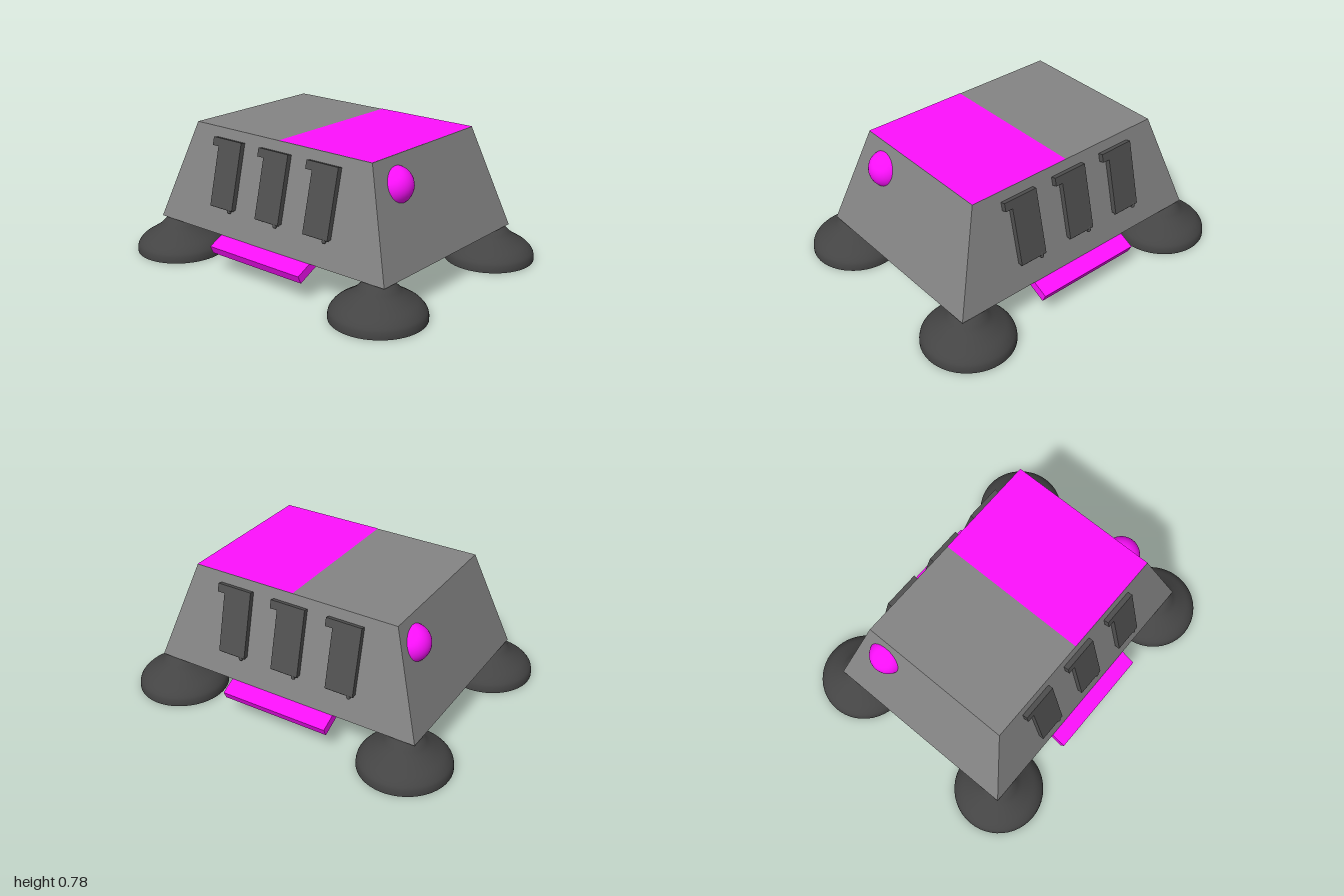
import * as THREE from 'three';

const mat = (color) => new THREE.MeshStandardMaterial({ color });

export function createModel() {
  const model = new THREE.Group();
  const grey = mat(0x858585), dark = mat(0x444444), vent = mat(0x505050), pink = mat(0xff10ff);

  const add = (parent, name, geometry, material, x = 0, y = 0, z = 0) => {
    const mesh = new THREE.Mesh(geometry, material);
    mesh.name = name;
    mesh.position.set(x, y, z);
    parent.add(mesh);
    return mesh;
  };

  // Tapered body: a box whose upper corners are pulled in
  const base = { y: 0.2, x: 0.825, z: 0.595 }, roof = { y: 0.78, x: 0.633, z: 0.455 };
  const bodyGeo = new THREE.BoxGeometry(2, 1, 2);
  const p = bodyGeo.attributes.position;
  for (let i = 0; i < p.count; i++) {
    const ring = p.getY(i) > 0 ? roof : base;
    p.setXYZ(i, p.getX(i) * ring.x, ring.y, p.getZ(i) * ring.z);
  }
  const flatBody = bodyGeo.toNonIndexed();
  flatBody.computeVertexNormals();
  add(model, 'body', flatBody, grey);

  // Coloured half of the roof
  const panel = new THREE.PlaneGeometry(roof.x, roof.z * 2).rotateX(-Math.PI / 2);
  add(model, 'roofPanel', panel, pink, roof.x / 2, roof.y + 0.002, 0);

  // Domed feet with a concave neck
  const rim = new THREE.SplineCurve([
    [0.26, 0], [0.259, 0.025], [0.25, 0.052], [0.22, 0.085], [0.17, 0.117],
    [0.125, 0.148], [0.095, 0.178], [0.065, 0.197], [0, 0.2],
  ].map(([r, y]) => new THREE.Vector2(r, y))).getPoints(32);
  rim[rim.length - 1].x = 0;
  const footGeo = new THREE.LatheGeometry(rim, 48);
  const soleGeo = new THREE.CircleGeometry(0.26, 48).rotateX(Math.PI / 2);
  for (const sx of [-1, 1]) for (const sz of [-1, 1]) {
    const foot = new THREE.Group();
    foot.name = 'foot';
    foot.position.set(sx * 0.74, 0, sz * 0.53);
    add(foot, 'footDome', footGeo, dark);
    add(foot, 'footSole', soleGeo, dark);
    model.add(foot);
  }

  // Side lamps, diagonally opposite
  const lampGeo = new THREE.SphereGeometry(0.105, 32, 24);
  add(model, 'leftLamp', lampGeo, pink, 0.645, 0.625, 0.285);
  add(model, 'rightLamp', lampGeo, pink, -0.65, 0.625, -0.33);

  // Vent outline: upright plate with a tab at its upper corner
  const outline = new THREE.Shape([
    [0, 0.157], [0.17, 0.157], [0.17, 0.538], [-0.045, 0.538], [-0.045, 0.49], [0, 0.49],
  ].map(([x, y]) => new THREE.Vector2(x, y)));
  const ventGeo = new THREE.ExtrudeGeometry(outline, { depth: 0.03, bevelEnabled: false });
  const lipGeo = new THREE.CylinderGeometry(0.008, 0.008, 0.17, 12).rotateZ(Math.PI / 2);
  const pegGeo = new THREE.CapsuleGeometry(0.012, 0.02, 6, 12);

  // Front and back share the same vents and sloping flap
  for (const [name, turn] of [['frontSide', 0], ['backSide', Math.PI]]) {
    const side = new THREE.Group();
    side.name = name;
    side.rotation.y = turn;
    model.add(side);

    const slope = new THREE.Group();
    slope.name = 'vents';
    slope.position.set(0, base.y, base.z);
    slope.rotation.x = -Math.atan2(base.z - roof.z, roof.y - base.y);
    side.add(slope);
    for (let i = 0; i < 3; i++) {
      const x = -0.415 + i * 0.347;
      add(slope, 'vent', ventGeo, vent, x, 0, 0);
      add(slope, 'ventLip', lipGeo, vent, x + 0.085, 0.157, 0.022);
      add(slope, 'ventPeg', pegGeo, vent, x + 0.143, 0.154, 0.02);
    }

    // Flap hangs out from under the body; its outer upper edge is the pivot
    const flapGeo = new THREE.BoxGeometry(0.66, 0.05, 0.22).translate(0, -0.025, -0.11);
    const flap = add(side, 'flap', flapGeo, pink, 0, 0.155, 0.68);
    flap.rotation.x = 0.45;
  }
  return model;
}
